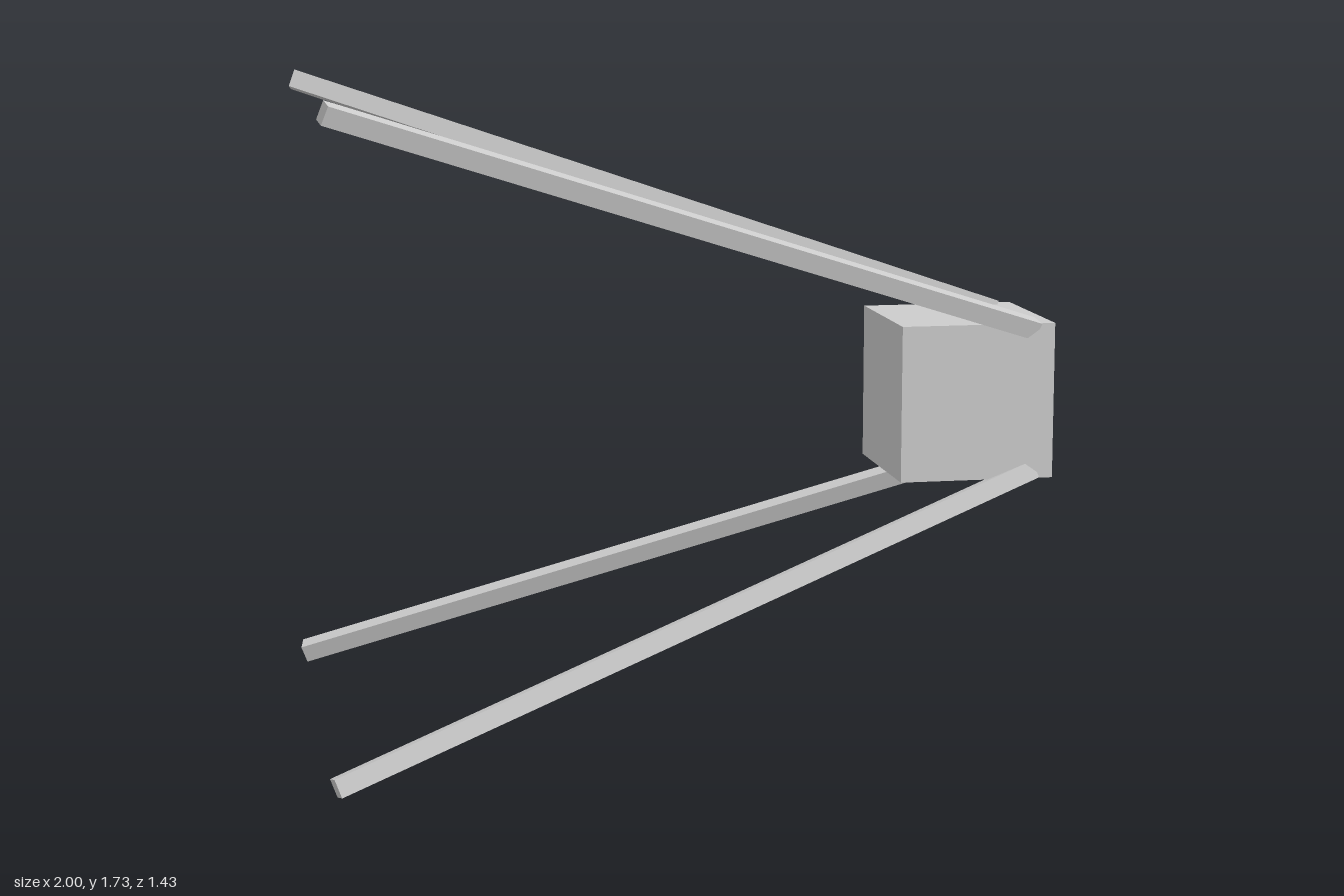
import * as THREE from 'three';

const material = new THREE.MeshStandardMaterial({ color: 0xcccccc, flatShading: true });
const UP = new THREE.Vector3(0, 1, 0);
const MID_Y = 0.866;

// Square bar running between two points
function bar(name, from, to, width) {
  const axis = to.clone().sub(from);
  const mesh = new THREE.Mesh(new THREE.BoxGeometry(width, axis.length(), width), material);
  mesh.name = name;
  mesh.position.copy(from).add(to).multiplyScalar(0.5);
  if (axis.y < 0) axis.negate(); // keeps upper and lower bars mirror images
  mesh.quaternion.setFromUnitVectors(UP, axis.normalize());
  return mesh;
}

export function createModel() {
  const group = new THREE.Group();

  // Cube body
  const body = new THREE.Mesh(new THREE.BoxGeometry(0.425, 0.425, 0.425), material);
  body.name = 'body';
  body.position.set(0.7875, MID_Y, 0);
  group.add(body);

  // Four arms spreading from the far corners of the cube
  for (const sy of [1, -1]) {
    for (const sz of [1, -1]) {
      const name = (sy > 0 ? 'upper' : 'lower') + (sz > 0 ? 'Front' : 'Back') + 'Arm';
      const root = new THREE.Vector3(0.95, MID_Y + sy * 0.194, sz * 0.187);
      const tip = new THREE.Vector3(-0.987, MID_Y + sy * 0.837, sz * 0.685);
      group.add(bar(name, root, tip, 0.05));
    }
  }
  return group;
}
